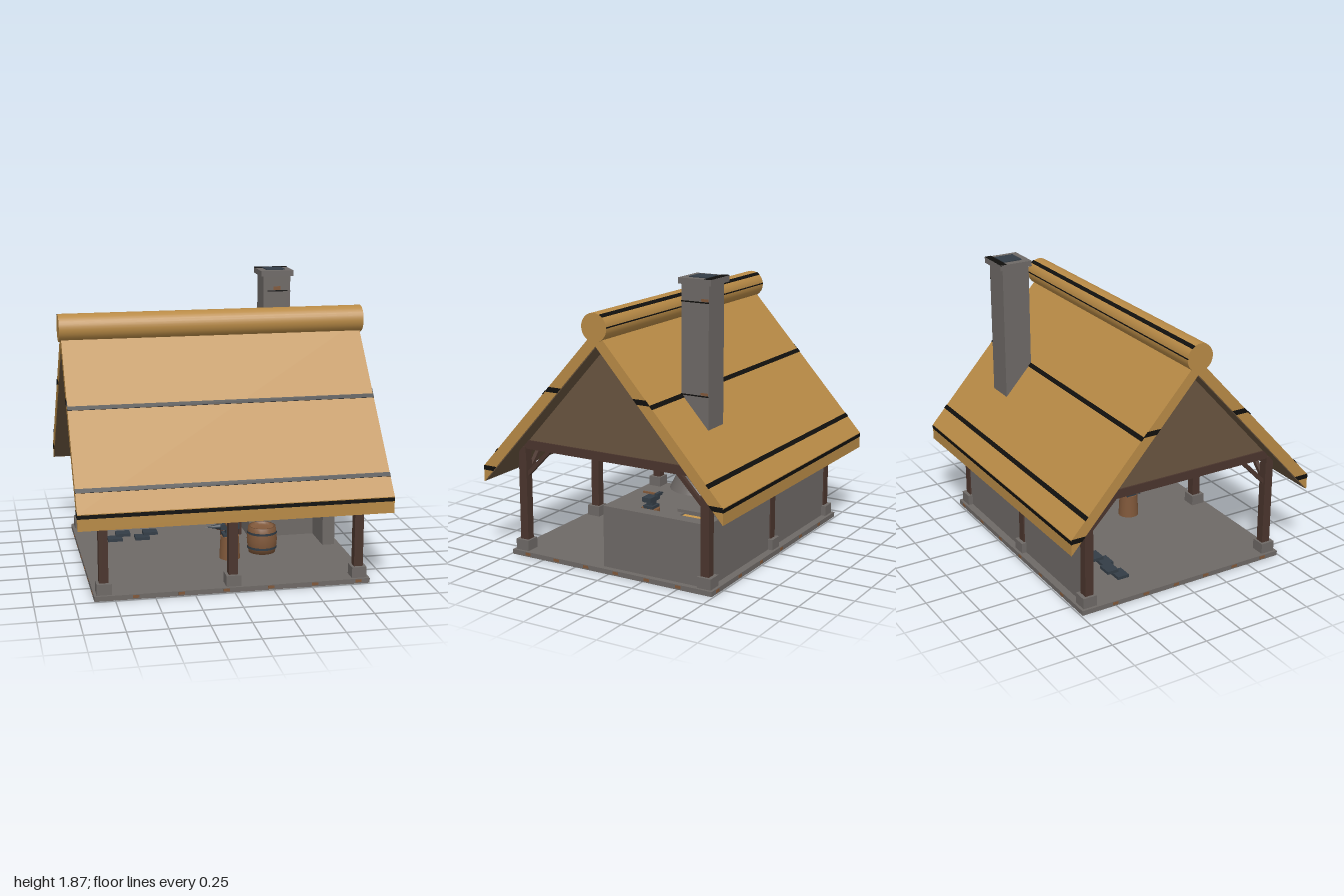
import * as THREE from 'three';

const mat = (name, color) => {
  const m = new THREE.MeshStandardMaterial({ color });
  m.name = name;
  return m;
};

export function createModel() {
  const root = new THREE.Group();
  root.name = 'openForge';
  const thatch = mat('thatch', 0xb88a46), stone = mat('stone', 0x6e6966), timber = mat('darkTimber', 0x4a352d);
  const boards = mat('gableBoards', 0x69543f), wood = mat('wood', 0x80583a), steel = mat('steel', 0x333d46);
  const black = mat('blackBinding', 0x100f0d), ember = mat('emberBed', 0xcc9a4c);

  const add = (name, geo, m, x = 0, y = 0, z = 0, parent = root) => {
    const mesh = new THREE.Mesh(geo, m);
    mesh.name = name;
    mesh.position.set(x, y, z);
    parent.add(mesh);
    return mesh;
  };
  // Box given by its limits on each axis
  const box = (name, m, x0, x1, y0, y1, z0, z1) =>
    add(name, new THREE.BoxGeometry(x1 - x0, y1 - y0, z1 - z0), m, (x0 + x1) / 2, (y0 + y1) / 2, (z0 + z1) / 2);
  // Square bar between two points
  const bar = (name, m, a, b, t) => {
    const p = new THREE.Vector3(...a), q = new THREE.Vector3(...b);
    const mesh = add(name, new THREE.BoxGeometry(t, t, p.distanceTo(q)), m);
    mesh.position.copy(p).lerp(q, 0.5);
    mesh.lookAt(q);
    return mesh;
  };
  // Outline in (z, y), extruded along x and centred on x
  const slice = (name, m, pts, depth, x = 0) => {
    const shape = new THREE.Shape(pts.map(([z, y]) => new THREE.Vector2(-z, y)));
    const geo = new THREE.ExtrudeGeometry(shape, { depth, bevelEnabled: false });
    geo.translate(0, 0, -depth / 2).rotateY(Math.PI / 2);
    return add(name, geo, m, x);
  };

  // Floor slab with wooden pegs along its edges
  box('floorSlab', stone, -0.88, 0.88, 0, 0.032, -0.74, 0.74);
  for (let i = 0; i < 6; i++) {
    const x = -0.62 + i * 0.285, z = 0.62 - i * 0.225;
    for (const s of [-1, 1]) {
      add('edgePeg', new THREE.BoxGeometry(0.04, 0.018, 0.004), wood, x, 0.018, s * 0.74);
      add('edgePeg', new THREE.BoxGeometry(0.004, 0.018, 0.04), wood, s * 0.88, 0.018, z);
    }
  }

  // Posts, footings, wall plates, tie beams and braces
  for (const sz of [-1, 1]) {
    for (const x of [-0.815, 0, 0.815]) {
      add('post', new THREE.BoxGeometry(0.058, 0.71, 0.058), timber, x, 0.39, sz * 0.67);
      add('footing', new THREE.BoxGeometry(0.095, 0.07, 0.095), stone, x, 0.067, sz * 0.675);
    }
    box('wallPlate', timber, -0.85, 0.85, 0.685, 0.725, sz * 0.665 - 0.025, sz * 0.665 + 0.025);
    for (const sx of [-1, 1]) {
      bar('tieBrace', timber, [sx * 0.815, 0.54, sz * 0.645], [sx * 0.815, 0.725, sz * 0.465], 0.026);
      bar('plateBrace', timber, [sx * 0.79, 0.54, sz * 0.67], [sx * 0.62, 0.71, sz * 0.67], 0.026);
    }
  }
  for (const s of [-1, 1]) {
    box('tieBeam', timber, s * 0.815 - 0.03, s * 0.815 + 0.03, 0.715, 0.772, -0.665, 0.665);
    slice('gable', boards, [[0.625, 0.77], [0, 1.462], [-0.625, 0.77]], 0.04, s * 0.815);
  }
  box('middleTieBeam', timber, -0.03, 0.03, 0.715, 0.772, -0.665, 0.665);

  // Thatched roof with a boarded underside and a round ridge
  const outer = y => (1.565 - y) / 1.103, inner = y => (1.467 - y) / 1.112;
  slice('thatchRoof', thatch,
    [[0.87, 0.605], [0, 1.565], [-0.87, 0.605], [-0.87, 0.5], [0, 1.467], [0.87, 0.5]], 1.97);
  slice('roofLining', boards,
    [[0.86, 0.511], [0, 1.467], [-0.86, 0.511], [-0.86, 0.504], [0, 1.46], [0.86, 0.504]], 1.96);
  add('ridgeRoll', new THREE.CylinderGeometry(0.089, 0.089, 2, 32).rotateZ(Math.PI / 2), thatch, 0, 1.582, 0);
  add('ridgeBinding', new THREE.BoxGeometry(2, 0.006, 0.025).rotateX(-0.6), black, 0, 1.582 + 0.0735, -0.0505);
  add('ridgeBinding', new THREE.BoxGeometry(2, 0.006, 0.008).rotateX(-1.5), black, 0, 1.588, -0.087);

  // Dark bindings across the slopes, eaves and gable ends
  for (const s of [-1, 1]) {
    for (const z of [0.385, 0.766])
      add('slopeBinding', new THREE.BoxGeometry(1.972, 0.006, 0.029).rotateX(s * 0.834), black,
        0, 1.565 - 1.103 * z, s * z);
    add('eaveBinding', new THREE.BoxGeometry(1.972, 0.024, 0.006), black, 0, 0.588, s * 0.869);
    for (const x of [-0.985, 0.985])
      for (const [y0, y1] of [[1.148, 1.18], [0.578, 0.608]]) {
        const e = y => s * Math.min(0.87, outer(y));
        slice('endBinding', black, [[e(y0), y0], [e(y1), y1], [s * inner(y1), y1], [s * inner(y0), y0]], 0.004, x);
      }
  }

  // Low walls behind and beside the hearth
  box('backWall', stone, -0.8, 0.84, 0.03, 0.43, -0.69, -0.645);
  box('sideWall', stone, 0.758, 0.842, 0.03, 0.43, -0.645, 0.055);

  // Hearth with raised rim and glowing bed
  box('hearth', stone, 0.3, 0.758, 0.03, 0.29, -0.645, -0.2);
  box('hearthRim', stone, 0.3, 0.37, 0.29, 0.32, -0.645, -0.2);
  box('hearthRim', stone, 0.69, 0.758, 0.29, 0.32, -0.645, -0.2);
  box('hearthRim', stone, 0.37, 0.69, 0.29, 0.32, -0.645, -0.54);
  box('hearthLip', stone, 0.37, 0.69, 0.29, 0.3, -0.25, -0.2);
  box('emberBed', ember, 0.38, 0.68, 0.288, 0.297, -0.53, -0.26);
  box('emberSlot', ember, 0.38, 0.67, 0.275, 0.295, -0.202, -0.196);

  // Smoke hood and chimney
  add('smokeHood', new THREE.CylinderGeometry(0.09, 0.195, 0.22, 32), stone, 0.525, 0.66, -0.465);
  box('chimney', stone, 0.432, 0.618, 0.74, 1.83, -0.563, -0.375);
  box('chimneyCap', stone, 0.412, 0.638, 1.825, 1.862, -0.588, -0.362);
  box('flue', steel, 0.46, 0.59, 1.86, 1.868, -0.54, -0.41);
  box('capBinding', black, 0.412, 0.638, 1.858, 1.865, -0.586, -0.542);
  for (const y of [1.15, 1.72]) {
    box('chimneySeam', black, 0.616, 0.62, y - 0.004, y + 0.004, -0.563, -0.375);
    box('chimneyPatch', wood, 0.616, 0.62, y + 0.006, y + 0.022, -0.56, -0.51);
  }
  box('chimneySeam', black, 0.46, 0.6, 1.72, 1.728, -0.377, -0.373);
  box('chimneyPatch', wood, 0.5, 0.55, 1.73, 1.755, -0.377, -0.373);

  // Tool rack with hanging hammers
  for (const x of [-0.703, -0.215]) box('rackPost', timber, x - 0.014, x + 0.014, 0.03, 0.53, -0.612, -0.584);
  box('rackRail', timber, -0.73, -0.19, 0.49, 0.52, -0.584, -0.57);
  [0.35, 0.28, 0.345, 0.335, 0.35].forEach((y, i) => {
    const x = -0.63 + i * 0.085;
    box('toolHandle', wood, x - 0.006, x + 0.006, y, 0.52, -0.57, -0.558);
    box('toolHead', steel, x - 0.022, x + 0.022, y - 0.016, y + 0.016, -0.58, -0.548);
  });

  // Iron stock lying on the floor
  for (const x of [-0.62, -0.43]) {
    box('ironBar', steel, x - 0.05, x + 0.05, 0.032, 0.052, -0.36, -0.28);
    box('ironBar', steel, x + 0.01, x + 0.11, 0.052, 0.072, -0.4, -0.32);
  }

  // Anvil on its stump, with a hammer
  add('stump', new THREE.CylinderGeometry(0.062, 0.07, 0.155, 16), wood, 0.085, 0.108, 0.18);
  box('anvilFoot', steel, 0.035, 0.125, 0.185, 0.205, 0.14, 0.215);
  box('anvilWaist', steel, 0.055, 0.105, 0.205, 0.24, 0.155, 0.2);
  box('anvilFace', steel, 0.02, 0.145, 0.235, 0.268, 0.145, 0.21);
  add('anvilHorn', new THREE.ConeGeometry(0.02, 0.1, 16).rotateZ(Math.PI / 2), steel, -0.03, 0.25, 0.178);
  box('hammerHandle', wood, 0.05, 0.062, 0.27, 0.282, 0.13, 0.255);
  box('hammerHead', steel, 0.025, 0.087, 0.268, 0.288, 0.125, 0.15);

  // Water barrel with hoops
  const stave = [[0, 0.032], [0.09, 0.032], [0.098, 0.08], [0.102, 0.12], [0.098, 0.165], [0.092, 0.21],
    [0.08, 0.21], [0.08, 0.19], [0, 0.19]].map(p => new THREE.Vector2(...p));
  add('barrel', new THREE.LatheGeometry(stave, 20), wood, 0.325, 0, 0.09);
  for (const y of [0.07, 0.172])
    add('barrelHoop', new THREE.CylinderGeometry(0.101, 0.101, 0.016, 20, 1, true), steel, 0.325, y, 0.09);

  // Bellows on a small stand feeding the hearth
  box('bellows', wood, 0.11, 0.27, 0.165, 0.215, -0.42, -0.27);
  box('bellowsNozzle', steel, 0.27, 0.31, 0.18, 0.2, -0.36, -0.33);
  for (const x of [0.125, 0.255])
    for (const z of [-0.405, -0.285]) box('bellowsLeg', timber, x - 0.01, x + 0.01, 0.03, 0.165, z - 0.01, z + 0.01);

  return root;
}
